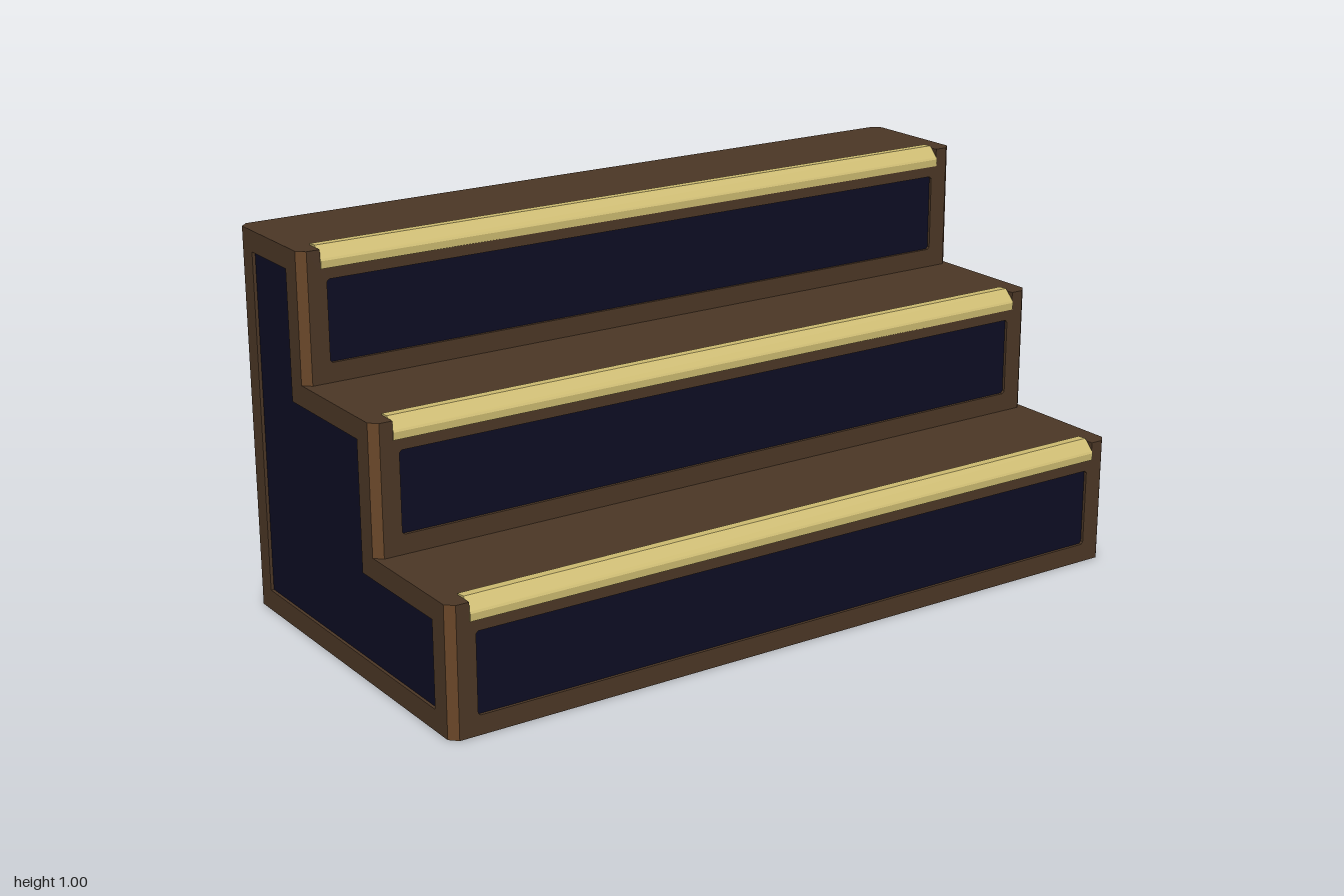
import * as THREE from 'three';

const mat = (name, color) => {
  const m = new THREE.MeshStandardMaterial({ color, side: THREE.DoubleSide });
  m.name = name;
  return m;
};

export function createModel() {
  const wood = mat('dark wood', 0x4a3625);
  const edge = mat('corner wood', 0x694628);
  const navy = mat('navy panel', 0x0c0c22);
  const brass = mat('brass', 0xccba70);

  const model = new THREE.Group();
  model.name = 'steps';

  const fronts = [0.5, 0.165, -0.17];
  const tops = [0.333, 0.667, 1];
  const C = 0.02;      // corner chamfer
  const D = 0.008;     // panel recess
  const N = 0.03;      // notch under each nosing
  const W = 0.945;     // half length of nosing

  const add = (name, geo, material, x = 0, y = 0, z = 0) => {
    const m = new THREE.Mesh(geo, material);
    m.name = name;
    m.position.set(x, y, z);
    model.add(m);
    return m;
  };
  const poly = (pts) => new THREE.Shape(pts.map(([x, y]) => new THREE.Vector2(x, y)));
  const plate = (shape, depth) => new THREE.ExtrudeGeometry(shape, { depth, bevelEnabled: false });

  // Rectangle with slightly clipped corners
  const opening = (x, y0, y1, c = 0.006) => poly([
    [-x + c, y0], [x - c, y0], [x, y0 + c], [x, y1 - c],
    [x - c, y1], [-x + c, y1], [-x, y1 - c], [-x, y0 + c]]);

  // Stair silhouette, horizontal axis = -z
  const stair = (inFront, inTop, back, bottom) => {
    const pts = [[back, bottom], [-(fronts[0] - inFront), bottom]];
    fronts.forEach((f, i) => {
      pts.push([-(f - inFront), tops[i] - inTop]);
      pts.push([i < 2 ? -(fronts[i + 1] - inFront) : back, tops[i] - inTop]);
    });
    return poly(pts);
  };

  // Brass nosing cross-section, horizontal axis = -z
  const nosing = poly([
    [0.054, -0.002], [0.052, 0.004], [0.027, 0.005], [0.022, 0.001],
    [-0.001, -0.023], [-0.004, -0.028], [-0.003, -0.047], [0.004, -0.047],
    [0.006, -0.03], [0.03, -0.006]]);

  fronts.forEach((f, i) => {
    const y0 = i ? tops[i - 1] : 0, y1 = tops[i];
    const p0 = y0 + 0.05, p1 = y1 - 0.075;

    // Riser frame and its recessed panel
    const frame = poly([
      [-1 + C, y0], [1 - C, y0], [1 - C, y1], [W, y1], [W, y1 - N],
      [-W, y1 - N], [-W, y1], [-1 + C, y1]]);
    frame.holes.push(opening(0.93, p0, p1));
    add('riserFrame', plate(frame, D), wood, 0, 0, f - D);
    add('riserPanel', plate(opening(0.94, p0 - 0.01, p1 + 0.01), 0.004), navy, 0, 0, f - D - 0.004);

    // Tread with clipped corners and a notch for the nosing
    const last = i === 2;
    const b = last ? 0.5 : -(fronts[i + 1] - C);
    const k = last ? C : 0;
    const tread = new THREE.ShapeGeometry(poly([
      [-1, -f + C], [-1 + C, -f], [-W, -f], [-W, -f + N], [W, -f + N], [W, -f],
      [1 - C, -f], [1, -f + C], [1, b - k], [1 - k, b], [-1 + k, b], [-1, b - k]]));
    tread.rotateX(-Math.PI / 2);
    add('tread', tread, wood, 0, y1, 0);

    // Nosing strip, with wood closing each end of the notch
    const strip = plate(nosing, 2 * W);
    strip.rotateY(Math.PI / 2);
    add('nosing', strip, brass, -W, y1, f);
    for (const s of [-1, 1]) {
      add('notchEnd', new THREE.BoxGeometry(0.01, N, N), wood,
        s * (W + 0.005), y1 - N / 2 - 0.0006, f - N / 2 - 0.0006);
      const corner = add('frontCorner', new THREE.PlaneGeometry(C * Math.SQRT2, y1 - y0), edge,
        s * (1 - C / 2), (y0 + y1) / 2, f - C / 2);
      corner.rotation.y = s * Math.PI / 4;
    }
  });

  // Side frames, panels and back corners
  for (const s of [-1, 1]) {
    const side = stair(C, 0, 0.5 - C, 0);
    side.holes.push(stair(0.075, 0.055, 0.43, 0.055));
    const frame = plate(side, D).rotateY(Math.PI / 2);
    add('sideFrame', frame, wood, s > 0 ? 1 - D : -1);
    const panel = plate(stair(0.065, 0.045, 0.44, 0.045), 0.004).rotateY(Math.PI / 2);
    add('sidePanel', panel, navy, s > 0 ? 1 - D - 0.004 : -1 + D);
    const corner = add('backCorner', new THREE.PlaneGeometry(C * Math.SQRT2, 1), edge,
      s * (1 - C / 2), 0.5, -0.5 + C / 2);
    corner.rotation.y = s * Math.PI * 0.75;
  }

  // Back frame and panel
  const back = poly([[-1 + C, 0], [1 - C, 0], [1 - C, 1], [-1 + C, 1]]);
  back.holes.push(opening(0.93, 0.055, 0.945));
  add('backFrame', plate(back, D), wood, 0, 0, -0.5);
  add('backPanel', plate(opening(0.94, 0.045, 0.955), 0.004), navy, 0, 0, -0.5 + D);

  // Underside
  const base = new THREE.ShapeGeometry(poly([
    [-1, -0.5 + C], [-1 + C, -0.5], [1 - C, -0.5], [1, -0.5 + C],
    [1, 0.5 - C], [1 - C, 0.5], [-1 + C, 0.5], [-1, 0.5 - C]]));
  base.rotateX(Math.PI / 2);
  add('base', base, wood);

  return model;
}
